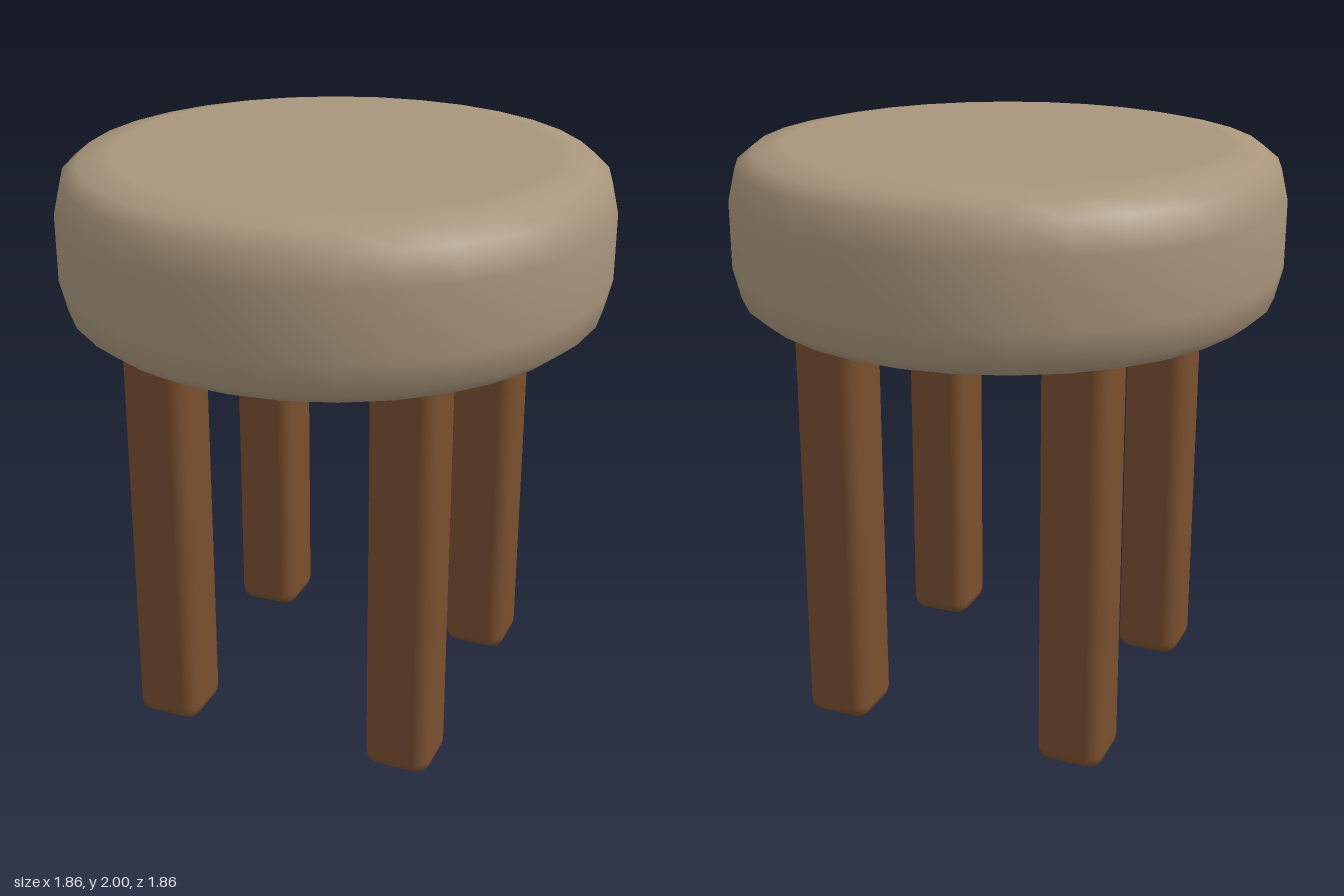
import * as THREE from 'three';
import { RoundedBoxGeometry } from 'three/addons/geometries/RoundedBoxGeometry.js';

export function createModel() {
  const stool = new THREE.Group();
  stool.name = 'stool';

  const fabric = new THREE.MeshStandardMaterial({ color: 0xa8957b });
  fabric.name = 'beige fabric';
  const wood = new THREE.MeshStandardMaterial({ color: 0x784f2f });
  wood.name = 'brown wood';

  // Round cushion: flat top and bottom with a softly rounded rim
  const profile = [
    [0, 1.435], [0.74, 1.435], [0.77, 1.437], [0.85, 1.455], [0.905, 1.5], [0.93, 1.605],
    [0.93, 1.83], [0.905, 1.935], [0.85, 1.98], [0.77, 1.998], [0.74, 2], [0, 2],
  ].map(([r, y]) => new THREE.Vector2(r, y));
  const seat = new THREE.Mesh(new THREE.LatheGeometry(profile, 32), fabric);
  seat.name = 'seat';
  stool.add(seat);

  // Four square legs with rounded edges, their tops tucked into the cushion
  const legHeight = 1.52;
  const legGeometry = new RoundedBoxGeometry(0.23, legHeight, 0.23, 2, 0.05);
  for (const [end, z] of [['front', 0.435], ['back', -0.435]]) {
    for (const [side, x] of [['Left', 0.435], ['Right', -0.435]]) {
      const leg = new THREE.Mesh(legGeometry, wood);
      leg.name = `${end}${side}Leg`;
      leg.position.set(x, legHeight / 2, z);
      stool.add(leg);
    }
  }

  return stool;
}
